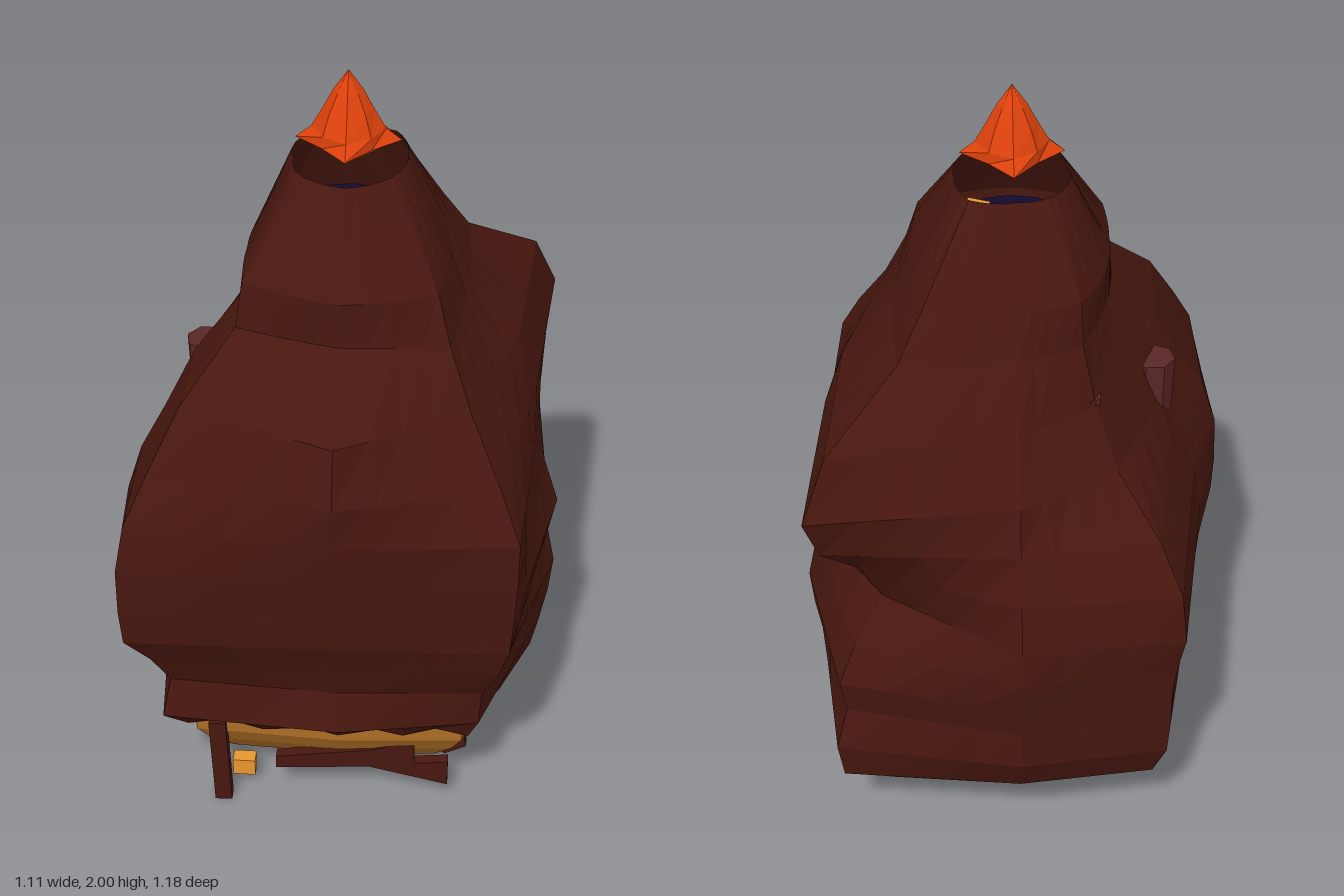
import * as THREE from 'three';

const V = (x, y, z) => new THREE.Vector3(x, y, z);
const mat = (color) => new THREE.MeshStandardMaterial({ color, flatShading: true, side: THREE.DoubleSide });

// Skin a list of closed rings (bottom to top, counter-clockwise seen from above)
function loft(rings) {
  const n = rings[0].length, index = [];
  for (let j = 0; j < rings.length - 1; j++) {
    for (let i = 0; i < n; i++) {
      const k = (i + 1) % n, a = j * n + i, b = j * n + k;
      index.push(a, b, b + n, a, b + n, a + n);
    }
  }
  const g = new THREE.BufferGeometry().setFromPoints(rings.flat());
  g.setIndex(index);
  g.computeVertexNormals();
  return g;
}

// Hide profiles: radius at each shared height, along one compass angle (0 = front)
const heights = [0.25, 0.34, 0.45, 0.55, 0.65, 0.75, 0.88, 1, 1.12, 1.27, 1.42, 1.54, 1.77];
const column = (degrees, ...radii) => ({ angle: THREE.MathUtils.degToRad(degrees), radii });
const columns = [
  column(0, 0.43, 0.5, 0.47, 0.5, 0.54, 0.56, 0.575, 0.585, 0.59, 0.55, 0.34, 0.34, 0.19),
  column(40, 0.53, 0.57, 0.58, 0.64, 0.68, 0.69, 0.7, 0.7, 0.62, 0.5, 0.41, 0.36, 0.17),
  column(90, 0.5, 0.52, 0.54, 0.55, 0.53, 0.55, 0.51, 0.49, 0.48, 0.43, 0.3, 0.24, 0.14),
  column(134, 0.64, 0.66, 0.62, 0.64, 0.58, 0.48, 0.55, 0.68, 0.73, 0.65, 0.4, 0.31, 0.15),
  column(180, 0.5, 0.55, 0.55, 0.57, 0.59, 0.58, 0.555, 0.51, 0.47, 0.37, 0.28, 0.23, 0.12),
  column(217, 0.58, 0.63, 0.64, 0.64, 0.655, 0.68, 0.66, 0.57, 0.41, 0.32, 0.27, 0.26, 0.13),
  column(270, 0.45, 0.48, 0.46, 0.485, 0.5, 0.5, 0.48, 0.43, 0.38, 0.32, 0.24, 0.24, 0.14),
  column(290, 0.49, 0.51, 0.49, 0.55, 0.59, 0.595, 0.59, 0.55, 0.48, 0.4, 0.27, 0.26, 0.14),
  column(316, 0.57, 0.65, 0.62, 0.68, 0.76, 0.77, 0.77, 0.74, 0.66, 0.55, 0.37, 0.345, 0.17),
];

// One ring: straight between ridges low down, rounding off toward the neck
function bodyRing(level, scale = 1) {
  const steps = 4, ring = [], y = heights[level];
  const round = THREE.MathUtils.smoothstep(y, 1.3, 1.77);
  const corners = columns.map(({ angle, radii }) => V(Math.sin(angle), 0, Math.cos(angle)).multiplyScalar(radii[level] * scale));
  corners.forEach((a, i) => {
    const b = corners[(i + 1) % corners.length];
    for (let s = 0; s < steps; s++) {
      const p = a.clone().lerp(b, s / steps);
      const arc = THREE.MathUtils.lerp(a.length(), b.length(), s / steps);
      p.setLength(THREE.MathUtils.lerp(p.length(), arc, round));
      ring.push(p.setY(y));
    }
  });
  return ring;
}

export function createModel() {
  const model = new THREE.Group();
  const add = (name, geometry, material, x = 0, y = 0, z = 0) => {
    const mesh = new THREE.Mesh(geometry, material);
    mesh.name = name;
    mesh.position.set(x, y, z);
    model.add(mesh);
    return mesh;
  };
  const hide = mat(0x48170f), tan = mat(0xb07026), amber = mat(0xe8962f);
  const navy = mat(0x120a2e), twig = mat(0x5a2626), ember = mat(0xdf420c);

  // Lumpy ridged hide with an open neck and a ragged, tucked-in hem
  const rings = heights.map((_, level) => bodyRing(level));
  rings[0].forEach((p, i) => { p.y += p.z * 0.04 + (p.z > 0.2 && i % 2 ? 0.025 : 0); });
  const tuck = bodyRing(0, 0.93);
  tuck.forEach((p) => { p.y += 0.02; });
  add('hide', loft([tuck, ...rings]), hide);

  // Shallow rounded underside
  const bowl = [[0.03, 0.001], [0.03, 0.3], [0.04, 0.53], [0.1, 0.74], [0.17, 0.87], [0.23, 0.95], [0.29, 0.96]];
  add('underside', loft(bowl.map(([y, s]) => bodyRing(0, s).map((p) => p.setY(y)))), tan);

  // Dark core and glowing patch inside the neck
  add('core', new THREE.CylinderGeometry(0.17, 0.2, 0.08, 16), navy, 0, 1.56, 0.03);
  const glow = add('coreGlow', new THREE.BoxGeometry(0.06, 0.02, 0.12), amber, 0.1, 1.6, 0.11);
  glow.rotation.y = -0.4;

  // Four-pointed ember over the neck: [height, point radius, valley radius]
  const emberRings = [[1.77, 0.001, 0.001], [1.77, 0.03, 0.02], [1.8, 0.085, 0.055], [1.82, 0.128, 0.083], [1.85, 0.09, 0.082], [1.9, 0.062, 0.062], [1.95, 0.036, 0.034], [2, 0.001, 0.001]];
  add('ember', loft(emberRings.map(([y, point, valley]) => Array.from({ length: 8 }, (_, i) => {
    const a = i * Math.PI / 4, r = i % 2 ? valley : point;
    return V(Math.sin(a) * r, y, Math.cos(a) * r);
  }))), ember, 0, 0, 0.035);

  // Twigs poking out of the back
  add('largeTwig', new THREE.CylinderGeometry(0.055, 0.045, 0.27, 7), twig, -0.36, 1.09, 0.015);
  add('smallTwig', new THREE.CylinderGeometry(0.03, 0.02, 0.13, 6), twig, -0.18, 1.22, -0.23);

  // Ragged strips hanging below the front hem
  const strip = add('hangingStrip', new THREE.BoxGeometry(0.045, 0.27, 0.035), hide, -0.315, 0.136, 0.395);
  strip.rotation.z = 0.04;
  const band = new THREE.Shape([[-0.17, 0.09], [0.08, 0.11], [0.29, 0.06], [0.29, 0.14], [0.2, 0.13], [0.2, 0.28], [0.17, 0.2], [0.09, 0.17], [-0.17, 0.13]].map(([x, y]) => new THREE.Vector2(x, y)));
  add('raggedBand', new THREE.ExtrudeGeometry(band, { depth: 0.03, bevelEnabled: false }), hide, 0, 0, 0.345);
  add('amberShard', new THREE.BoxGeometry(0.06, 0.05, 0.04), amber, -0.26, 0.06, 0.33);

  // Stubby feet under the bowl
  for (const [x, y, z] of [[0.27, 0.09, -0.13], [0.28, 0.1, 0.2]]) {
    add('stub', new THREE.CylinderGeometry(0.05, 0.065, 0.06, 6), hide, x, y, z);
  }
  return model;
}
